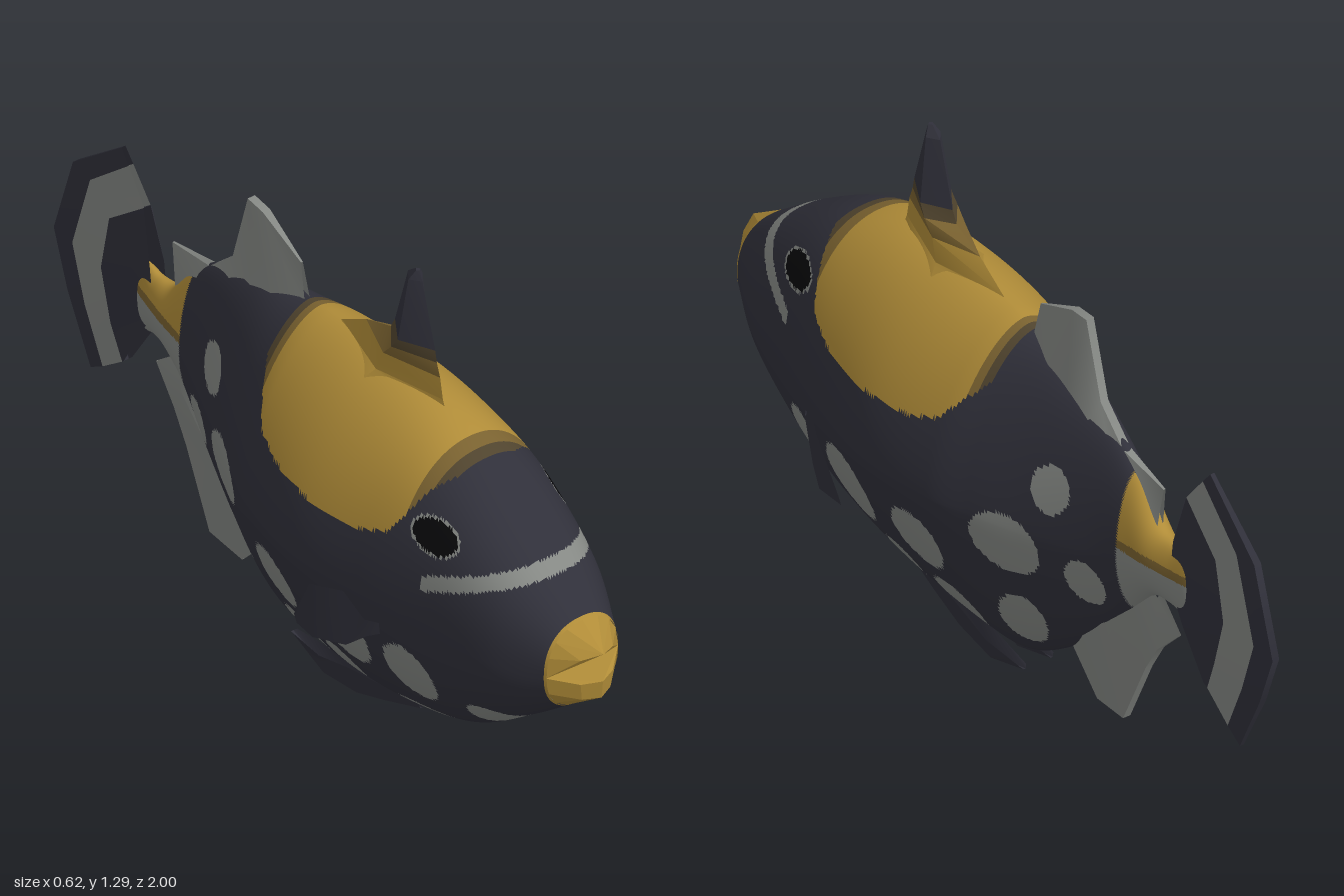
import * as THREE from 'three';
import { toCreasedNormals } from 'three/addons/utils/BufferGeometryUtils.js';
import { ConvexGeometry } from 'three/addons/geometries/ConvexGeometry.js';

const mat = (name, color) => {
  const m = new THREE.MeshStandardMaterial({ color, side: THREE.DoubleSide });
  m.name = name;
  return m;
};

// Body stations: z, top, bottom, half width, widest height, roundness above, roundness below
const STATIONS = [
  [0.92, 0.675, 0.45, 0.1, 0.556, 2.3, 2.3],
  [0.78, 0.785, 0.335, 0.165, 0.55, 2.4, 2],
  [0.6, 0.9, 0.2, 0.205, 0.55, 2.3, 1.8],
  [0.415, 0.965, 0.125, 0.245, 0.55, 1.9, 1.6],
  [0.2, 0.985, 0.07, 0.272, 0.55, 1.7, 1.4],
  [0, 0.975, 0.06, 0.24, 0.55, 1.7, 1.4],
  [-0.1, 0.96, 0.085, 0.2, 0.55, 1.7, 1.5],
  [-0.23, 0.94, 0.175, 0.145, 0.55, 1.7, 1.6],
  [-0.39, 0.875, 0.32, 0.085, 0.57, 1.8, 1.7],
  [-0.49, 0.8, 0.45, 0.058, 0.6, 1.9, 1.8],
  [-0.56, 0.71, 0.52, 0.048, 0.61, 2, 2],
  [-0.62, 0.695, 0.53, 0.035, 0.61, 2, 2],
  [-0.68, 0.705, 0.52, 0.02, 0.61, 2, 2],
  [-0.7, 0.66, 0.56, 0.008, 0.61, 2, 2],
];

// Smooth interpolation of one station column
function column(z, c) {
  const S = STATIONS, n = S.length;
  let i = 0;
  while (i < n - 2 && z < S[i + 1][0]) i++;
  const slope = (k) => {
    const a = S[Math.max(k - 1, 0)], b = S[Math.min(k + 1, n - 1)];
    return (b[c] - a[c]) / (b[0] - a[0]);
  };
  const d = S[i + 1][0] - S[i][0], t = (z - S[i][0]) / d, t2 = t * t, t3 = t2 * t;
  return (2 * t3 - 3 * t2 + 1) * S[i][c] + (t3 - 2 * t2 + t) * d * slope(i)
    + (3 * t2 - 2 * t3) * S[i + 1][c] + (t3 - t2) * d * slope(i + 1);
}

function bodyPoint(z, angle) {
  const [top, bottom, w, mid, pTop, pBottom] = [1, 2, 3, 4, 5, 6].map((c) => column(z, c));
  const c = Math.cos(angle), s = Math.sin(angle), e = 2 / (s >= 0 ? pTop : pBottom);
  const h = s >= 0 ? top - mid : mid - bottom;
  return new THREE.Vector3(
    w * Math.sign(c) * Math.abs(c) ** e, mid + h * Math.sign(s) * Math.abs(s) ** e, z);
}

// Pale spots: z, y, radius along z, radius along y, tilt
const SPOTS = [
  [0.53, 0.375, 0.07, 0.085, 0], [0.72, 0.31, 0.06, 0.055, 0], [0.32, 0.39, 0.09, 0.105, 0],
  [0.075, 0.38, 0.075, 0.088, 0], [-0.185, 0.5, 0.085, 0.083, 0], [-0.29, 0.69, 0.05, 0.062, 0],
  [-0.38, 0.475, 0.05, 0.062, 0], [-0.17, 0.255, 0.055, 0.095, 0.4], [0.055, 0.17, 0.07, 0.075, 0],
  [0.225, 0.205, 0.052, 0.062, 0], [0.49, 0.16, 0.12, 0.05, 0],
];
const inOval = (z, y, [cz, cy, rz, ry, tilt = 0], grow = 1) => {
  const c = Math.cos(tilt), s = Math.sin(tilt), dz = z - cz, dy = y - cy;
  return ((dz * c + dy * s) / rz) ** 2 + ((dy * c - dz * s) / ry) ** 2 < grow * grow;
};

// Lower edge of the golden saddle: z, y
const SADDLE = [[-0.078, 0.865], [-0.02, 0.79], [0.01, 0.748], [0.09, 0.72], [0.25, 0.705],
  [0.4, 0.715], [0.48, 0.75], [0.54, 0.87], [0.57, 0.9]];
function inSaddle(z, y) {
  for (let i = 0; i < SADDLE.length - 1; i++) {
    const [a, ya] = SADDLE[i], [b, yb] = SADDLE[i + 1];
    if (z >= a && z < b) return y > ya + (yb - ya) * (z - a) / (b - a);
  }
  return false;
}

// Colour slots: 0 dark, 1 gold, 2 brown, 3 deep brown, 4 grey, 5 black
function bodyColour(z, y) {
  const eye = [0.595, 0.785, 0.06, 0.036, -0.12];
  if (inOval(z, y, eye)) return 5;
  if (inOval(z, y, eye, 1.12)) return 4;
  if (z > 0.912) return 1;
  if (z < -0.475) return y > 0.645 ? 1 : y > 0.622 ? 2 : 4;
  if (z > 0.59 && Math.abs(y - 0.67 - (z - 0.595) * 0.42) < 0.02) return 4;
  if (inSaddle(z, y)) return z > 0.54 || z < -0.06 ? 3 : z > 0.51 || z < -0.04 ? 2 : 1;
  return SPOTS.some((s) => inOval(z, y, s)) ? 4 : 0;
}

function bodyGeometry() {
  const ROWS = 240, COLS = 180, pos = [], slots = [[], [], [], [], [], []];
  for (let i = 0; i <= ROWS; i++) {
    for (let j = 0; j < COLS; j++) {
      pos.push(...bodyPoint(0.92 - 1.62 * i / ROWS, 2 * Math.PI * j / COLS).toArray());
    }
  }
  const face = (...ids) => {
    const mean = (k) => ids.reduce((sum, v) => sum + pos[v * 3 + k], 0) / 3;
    slots[bodyColour(mean(2), mean(1))].push(...ids);
  };
  for (let i = 0; i < ROWS; i++) {
    for (let j = 0; j < COLS; j++) {
      const a = i * COLS + j, b = i * COLS + (j + 1) % COLS;
      face(a, a + COLS, b);
      face(b, a + COLS, b + COLS);
    }
  }
  const g = new THREE.BufferGeometry();
  g.setAttribute('position', new THREE.Float32BufferAttribute(pos, 3));
  g.setIndex(slots.flat());
  let start = 0;
  slots.forEach((s, k) => { g.addGroup(start, s.length, k); start += s.length; });
  g.computeVertexNormals();
  return g;
}

// Tapered fin strip between two chains of [z, y], with a half width for each chain
function finStrip(A, B, wA, wB, endScale) {
  const pos = [], idx = [], n = A.length;
  for (let j = 0; j < n; j++) {
    const k = j === 0 || j === n - 1 ? endScale : 1;
    for (const [[z, y], x] of [[A[j], wA * k], [B[j], wB * k], [B[j], -wB * k], [A[j], -wA * k]]) {
      pos.push(x, y, z);
    }
  }
  for (let j = 0; j < n - 1; j++) {
    for (let s = 0; s < 3; s++) {
      const a = j * 4 + s, b = a + 4;
      idx.push(a, a + 1, b, b, a + 1, b + 1);
    }
  }
  const g = new THREE.BufferGeometry();
  g.setAttribute('position', new THREE.Float32BufferAttribute(pos, 3));
  g.setIndex(idx);
  return toCreasedNormals(g, 0.7);
}

export function createModel() {
  const dark = mat('dark skin', 0x30303a), gold = mat('gold', 0xb08c38);
  const brown = mat('brown border', 0x7a6230), deep = mat('deep brown border', 0x50442e);
  const grey = mat('pale grey', 0x858884), black = mat('eye black', 0x08080a);
  const fish = new THREE.Group();
  fish.name = 'fish';
  const add = (name, geometry, material) => {
    const m = new THREE.Mesh(geometry, material);
    m.name = name;
    fish.add(m);
    return m;
  };
  const fin = (name, chains, widths, mats, endScale = 0.25) => mats.forEach((m, k) =>
    add(name, finStrip(chains[k], chains[k + 1], widths[k], widths[k + 1], endScale), m));

  add('body', bodyGeometry(), [dark, gold, brown, deep, grey, black]);

  // Beak-like lips
  const lip = (name, from, tips) => {
    const pts = tips.map((t) => new THREE.Vector3(...t));
    for (let i = 0; i <= 8; i++) pts.push(bodyPoint(0.918, from + Math.PI * i / 8));
    add(name, new ConvexGeometry(pts), gold);
  };
  lip('upperLip', 0, [[0, 0.625, 0.997], [0.045, 0.612, 0.972], [-0.045, 0.612, 0.972]]);
  lip('lowerLip', Math.PI, [[0, 0.548, 0.995], [0, 0.5, 0.99],
    [0.045, 0.545, 0.972], [-0.045, 0.545, 0.972], [0.04, 0.5, 0.97], [-0.04, 0.5, 0.97]]);

  // Front dorsal spine with a golden ridge behind it
  const level = (front, middle, back, y) => [[front, y], [middle, y], [back, y]];
  fin('spineFin', [
    level(0.43, 0.2, -0.02, 0.93), level(0.41, 0.23, 0.04, 0.98), level(0.4, 0.25, 0.13, 1.035),
    level(0.388, 0.28, 0.22, 1.07), level(0.382, 0.3, 0.235, 1.1),
    level(0.335, 0.31, 0.283, 1.265), level(0.325, 0.32, 0.312, 1.29),
  ], [0.1, 0.05, 0.045, 0.045, 0.042, 0.02, 0.006], [gold, gold, brown, deep, dark, dark], 0);

  // Rear dorsal and belly fins
  fin('rearDorsalFin', [
    [[-0.08, 0.93], [-0.17, 0.92], [-0.25, 0.9], [-0.33, 0.87], [-0.42, 0.8], [-0.555, 0.69]],
    [[-0.105, 1.05], [-0.235, 1.115], [-0.29, 1.12], [-0.345, 0.925], [-0.43, 0.845], [-0.575, 0.82]],
  ], [0.035, 0.01], [grey]);
  fin('analFin', [
    [[-0.22, 0.2], [-0.3, 0.28], [-0.4, 0.36], [-0.5, 0.46], [-0.55, 0.52]],
    [[-0.32, 0.085], [-0.43, 0.1], [-0.515, 0.29], [-0.56, 0.37], [-0.635, 0.45]],
  ], [0.035, 0.01], [grey]);

  // Banded tail
  fin('tailFin', [
    [[-0.667, 0.85], [-0.635, 0.72], [-0.62, 0.6], [-0.67, 0.51], [-0.74, 0.39]],
    [[-0.67, 0.86], [-0.79, 0.76], [-0.82, 0.605], [-0.785, 0.47], [-0.75, 0.38]],
    [[-0.73, 0.94], [-0.865, 0.82], [-0.93, 0.605], [-0.885, 0.46], [-0.825, 0.32]],
    [[-0.757, 0.975], [-0.93, 0.83], [-1, 0.605], [-0.95, 0.46], [-0.87, 0.29]],
  ], [0.02, 0.015, 0.011, 0.009], [dark, grey, dark], 0.6);

  for (const side of [1, -1]) {
    const label = side > 0 ? 'left' : 'right';

    // Curved pectoral fin: x, z, low y, high y
    const pos = [], idx = [];
    [[0.225, 0.48, 0.47, 0.5], [0.25, 0.45, 0.455, 0.505], [0.272, 0.4, 0.41, 0.565],
      [0.308, 0.325, 0.403, 0.556], [0.298, 0.255, 0.395, 0.425]].forEach(([x, z, lo, hi], i) => {
      pos.push(side * (x - 0.008), lo, z, side * x, hi, z);
      if (i) idx.push(2 * i - 2, 2 * i, 2 * i - 1, 2 * i - 1, 2 * i, 2 * i + 1);
    });
    if (side < 0) idx.reverse();
    const g = new THREE.BufferGeometry();
    g.setAttribute('position', new THREE.Float32BufferAttribute(pos, 3));
    g.setIndex(idx);
    g.computeVertexNormals();
    add(label + 'PectoralFin', g, dark);

    // Pelvic fin swept back under the belly
    const pelvic = finStrip(
      [[0.37, 0.14], [0.25, 0.11], [0.15, 0.09], [0.03, 0.055], [-0.085, 0.048]],
      [[0.38, 0.115], [0.25, 0.06], [0.15, 0.02], [0.03, 0.002], [-0.092, 0.042]], 0.018, 0.006, 0.5);
    add(label + 'PelvicFin', pelvic, dark).position.x = side * 0.037;
  }
  return fish;
}
